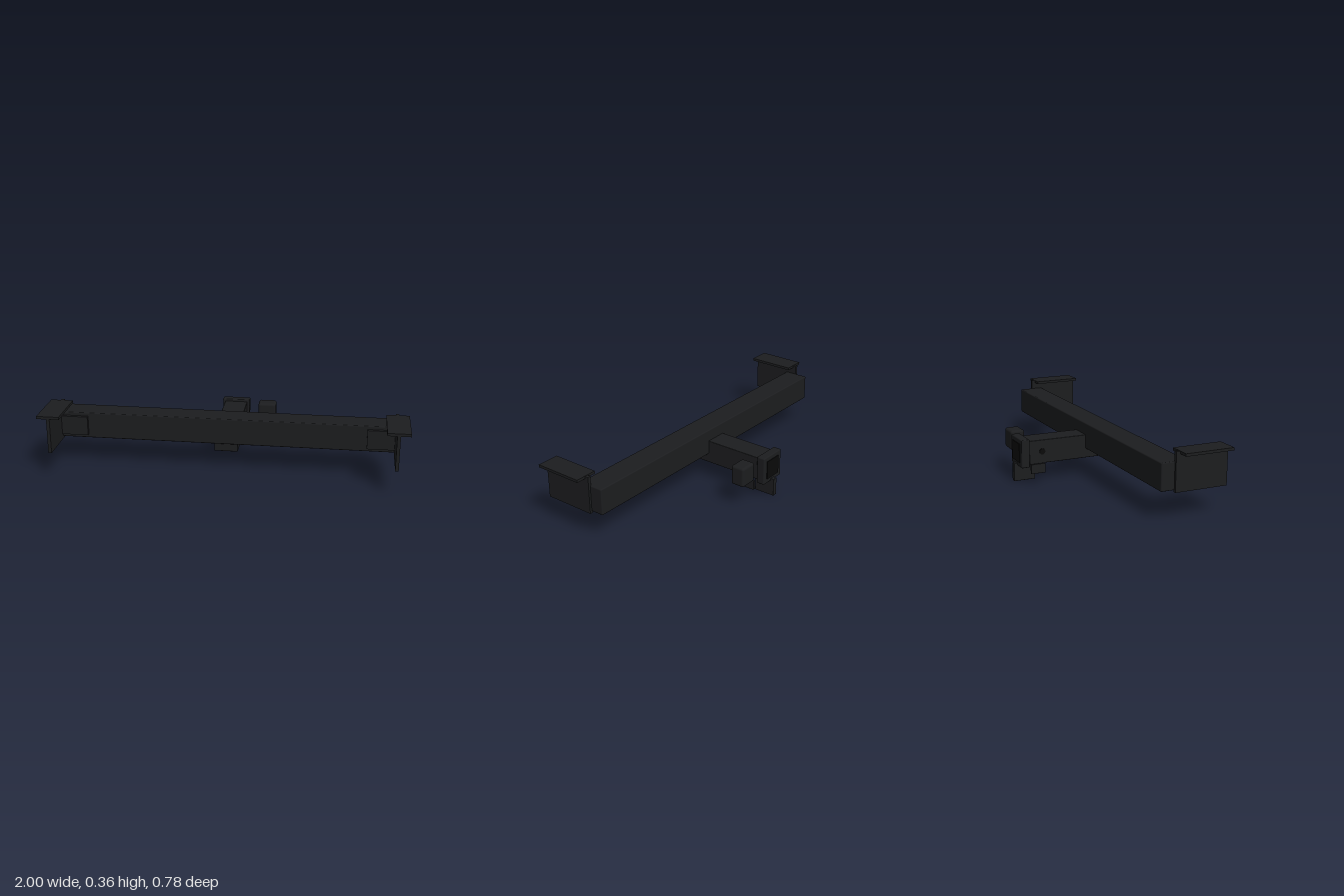
import * as THREE from 'three';
import { RoundedBoxGeometry } from 'three/addons/geometries/RoundedBoxGeometry.js';

const steel = new THREE.MeshStandardMaterial({ color: 0x1c1d1f });
const black = new THREE.MeshStandardMaterial({ color: 0x0a0a0a });

// Box given by its [min, max] range on each axis, with an optional edge radius
function block(name, [x0, x1], [y0, y1], [z0, z1], radius = 0, material = steel) {
  const size = [x1 - x0, y1 - y0, z1 - z0];
  const geometry = radius
    ? new RoundedBoxGeometry(...size, 3, radius)
    : new THREE.BoxGeometry(...size);
  const mesh = new THREE.Mesh(geometry, material);
  mesh.name = name;
  mesh.position.set((x0 + x1) / 2, (y0 + y1) / 2, (z0 + z1) / 2);
  return mesh;
}

// Range on the given side of the model
const onSide = (s, a, b) => (s > 0 ? [a, b] : [-b, -a]);

export function createModel() {
  const group = new THREE.Group();
  group.name = 'towHitch';

  // Main cross beam
  group.add(block('crossBeam', [-0.933, 0.933], [0.157, 0.305], [0.023, 0.165], 0.006));

  // Receiver tube with its collar and dark opening
  group.add(block('receiverTube', [-0.066, 0.066], [0.104, 0.238], [-0.365, 0.138], 0.004));
  group.add(block('receiverCollar', [-0.08, 0.08], [0.091, 0.251], [-0.37, -0.321], 0.006));
  group.add(block('receiverOpening', [-0.053, 0.053], [0.118, 0.225], [-0.374, -0.33], 0, black));

  // Hitch pin through the tube
  const pin = new THREE.Mesh(new THREE.CylinderGeometry(0.017, 0.017, 0.142, 24), black);
  pin.name = 'hitchPin';
  pin.rotation.z = Math.PI / 2;
  pin.position.set(0, 0.172, -0.243);
  group.add(pin);

  // Fin under the receiver and wiring connector beside it
  group.add(block('lowerFin', [-0.014, 0.014], [0.002, 0.106], [-0.391, -0.266], 0.003));
  group.add(block('wiringConnector', [0.138, 0.242], [0.136, 0.25], [-0.349, -0.266], 0.014));

  for (const s of [1, -1]) {
    const bracket = new THREE.Group();
    bracket.name = s > 0 ? 'leftBracket' : 'rightBracket';
    // Frame mounting bracket: upright plate, top flange and front gusset
    bracket.add(
      block('sidePlate', onSide(s, 0.927, 0.945), [0.147, 0.357], [0.097, 0.393]),
      block('topFlange', onSide(s, 0.875, 1), [0.343, 0.358], [0.118, 0.393]),
      block('frontGusset', onSide(s, 0.778, 0.93), [0.178, 0.286], [0.16, 0.183]),
    );
    group.add(bracket);
    // Safety chain plate
    group.add(block('chainPlate', onSide(s, 0.103, 0.117), [0.064, 0.118], [-0.328, -0.245], 0.002));
  }
  return group;
}
